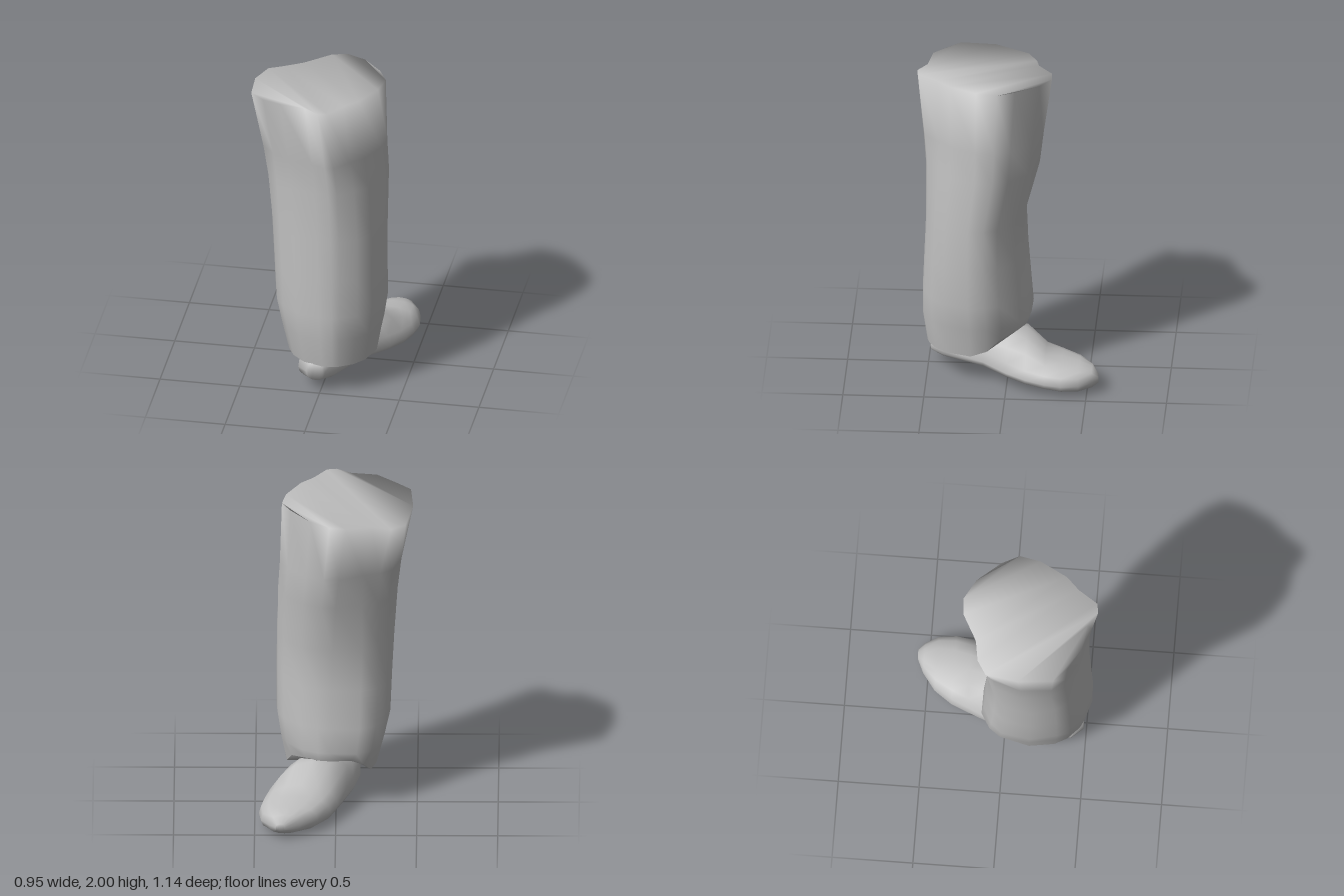
import * as THREE from 'three';

const grey = new THREE.MeshStandardMaterial({ color: 0xc0c0c0 });
grey.name = 'plain grey';

// Skin rings of points into one smooth surface; caps are strips that share the ring's points.
function loft(name, rings, { first = false, last = false, start = 5 } = {}) {
  const n = rings[0].length;
  const index = [];
  for (let j = 0; j < rings.length - 1; j++) {
    for (let i = 0; i < n; i++) {
      const k = (i + 1) % n;
      const a = j * n + i, b = a + n, c = (j + 1) * n + k, d = j * n + k;
      index.push(a, b, c, a, c, d);
    }
  }
  const cap = (row, flip) => {
    const at = (i) => row * n + ((i % n) + n) % n;
    for (let k = 0; k < n / 2 - 1; k++) {
      const l0 = at(start - k), l1 = at(start - k - 1);
      const r0 = at(start + 1 + k), r1 = at(start + 2 + k);
      if (flip) index.push(r1, l0, r0, r1, l1, l0);
      else index.push(r1, r0, l0, r1, l0, l1);
    }
  };
  if (first) cap(0, true);
  if (last) cap(rings.length - 1, false);
  const geometry = new THREE.BufferGeometry();
  geometry.setAttribute('position', new THREE.Float32BufferAttribute(rings.flat(2), 3));
  geometry.setIndex(index);
  geometry.computeVertexNormals();
  const mesh = new THREE.Mesh(geometry, grey);
  mesh.name = name;
  return mesh;
}

// Irregular outline of the top: x, z and how far the edge sags.
const rim = [
  [-0.43, -0.095, 0.075], [-0.34, -0.15, 0.08], [-0.22, -0.17, 0.055], [-0.06, -0.26, 0.03],
  [0.04, -0.265, 0.02], [0.16, -0.195, 0.01], [0.28, -0.05, 0], [0.335, 0.06, 0], [0.31, 0.19, 0],
  [0.22, 0.36, 0], [0.14, 0.44, 0], [0.06, 0.56, 0], [0, 0.57, 0], [-0.09, 0.51, 0],
  [-0.25, 0.485, 0], [-0.37, 0.41, 0.02], [-0.46, 0.325, 0.025], [-0.475, 0.11, 0.04],
];

// Leg levels: y, x from, x to, z from, z to, share of the rim's shape, fullness of the back right corner.
const legLevels = [
  [0.195, -0.245, 0.31, -0.12, 0.505, 0, 0.15],
  [0.39, -0.29, 0.345, -0.14, 0.535, 0, 0.3],
  [0.55, -0.325, 0.37, -0.125, 0.535, 0, 0.3],
  [0.80, -0.335, 0.37, -0.105, 0.525, 0, 0.3],
  [1.07, -0.35, 0.37, -0.10, 0.515, 0.05, 0.27],
  [1.40, -0.38, 0.365, -0.19, 0.515, 0.4, 0],
  [1.60, -0.405, 0.35, -0.215, 0.53, 0.7, -0.2],
  [2.00, -0.475, 0.335, -0.265, 0.57, 1, 0],
];

function legRing([y, x0, x1, z0, z1, share, corner], level) {
  return rim.map(([rx, rz, sag]) => {
    // rim point in a -1..1 box, and the rounded section's point in the same direction
    const u = (rx + 0.07) / 0.405, v = (rz - 0.1525) / 0.4175;
    const len = Math.hypot(u, v);
    const fuller = u < 0 && v < 0 ? 1 + corner * u * v / len ** 2 : 1;
    const s = share + (1 - share) * fuller / len;
    const x = (x0 + x1) / 2 + u * s * (x1 - x0) / 2;
    const z = (z0 + z1) / 2 + v * s * (z1 - z0) / 2;
    // the hem rises over the instep, the top edge sags at the back
    const rise = level === 0 ? 0.135 * THREE.MathUtils.smoothstep((0.2 * u - 0.97 * v) / len, 0.2, 0.85) : 0;
    const drop = level === legLevels.length - 1 ? sag : 0;
    return [x, y + rise - drop, z];
  });
}

// Shoe sections from heel to toe: z, x from, x to, y from, y of widest line, y to,
// peak (above 1 makes a narrow ridge) and sideways shift of the ridge.
const shoeSections = [
  [0.485, -0.085, 0.03, 0.085, 0.14, 0.20, 0.6, 0],
  [0.41, -0.15, 0.09, 0.06, 0.13, 0.24, 0.7, 0],
  [0.15, -0.15, 0.23, 0.055, 0.12, 0.28, 0.9, 0],
  [0.00, -0.115, 0.36, 0.045, 0.11, 0.335, 1.4, -0.02],
  [-0.12, -0.07, 0.43, 0.03, 0.10, 0.33, 1.6, -0.03],
  [-0.24, -0.015, 0.46, 0.015, 0.085, 0.225, 1.1, -0.01],
  [-0.34, 0.03, 0.475, 0.003, 0.08, 0.195, 0.85, 0],
  [-0.45, 0.11, 0.46, 0.01, 0.08, 0.175, 0.75, 0],
  [-0.53, 0.22, 0.41, 0.03, 0.085, 0.155, 0.75, 0],
  [-0.57, 0.31, 0.37, 0.06, 0.085, 0.11, 0.85, 0],
];

function shoeRing([z, x0, x1, y0, yMid, y1, peak, shift]) {
  const power = (v, p) => Math.sign(v) * Math.abs(v) ** p;
  return Array.from({ length: 16 }, (_, i) => {
    const t = (i / 16) * Math.PI * 2;
    const up = Math.cos(t);
    return [
      (x0 + x1) / 2 - power(Math.sin(t), 0.9) * (x1 - x0) / 2 + shift * Math.max(up, 0),
      up > 0 ? yMid + power(up, peak) * (y1 - yMid) : yMid + power(up, 0.8) * (yMid - y0),
      z,
    ];
  });
}

export function createModel() {
  const group = new THREE.Group();
  group.name = 'bootedLeg';
  const legRings = legLevels.map(legRing);
  // trouser leg with closed top, and its sharp-edged underside
  group.add(loft('trouserLeg', legRings, { last: true }));
  group.add(loft('hemUnderside', [legRings[0]], { first: true }));
  // shoe turned outwards
  group.add(loft('shoe', shoeSections.map(shoeRing), { first: true, last: true, start: 3 }));
  return group;
}
